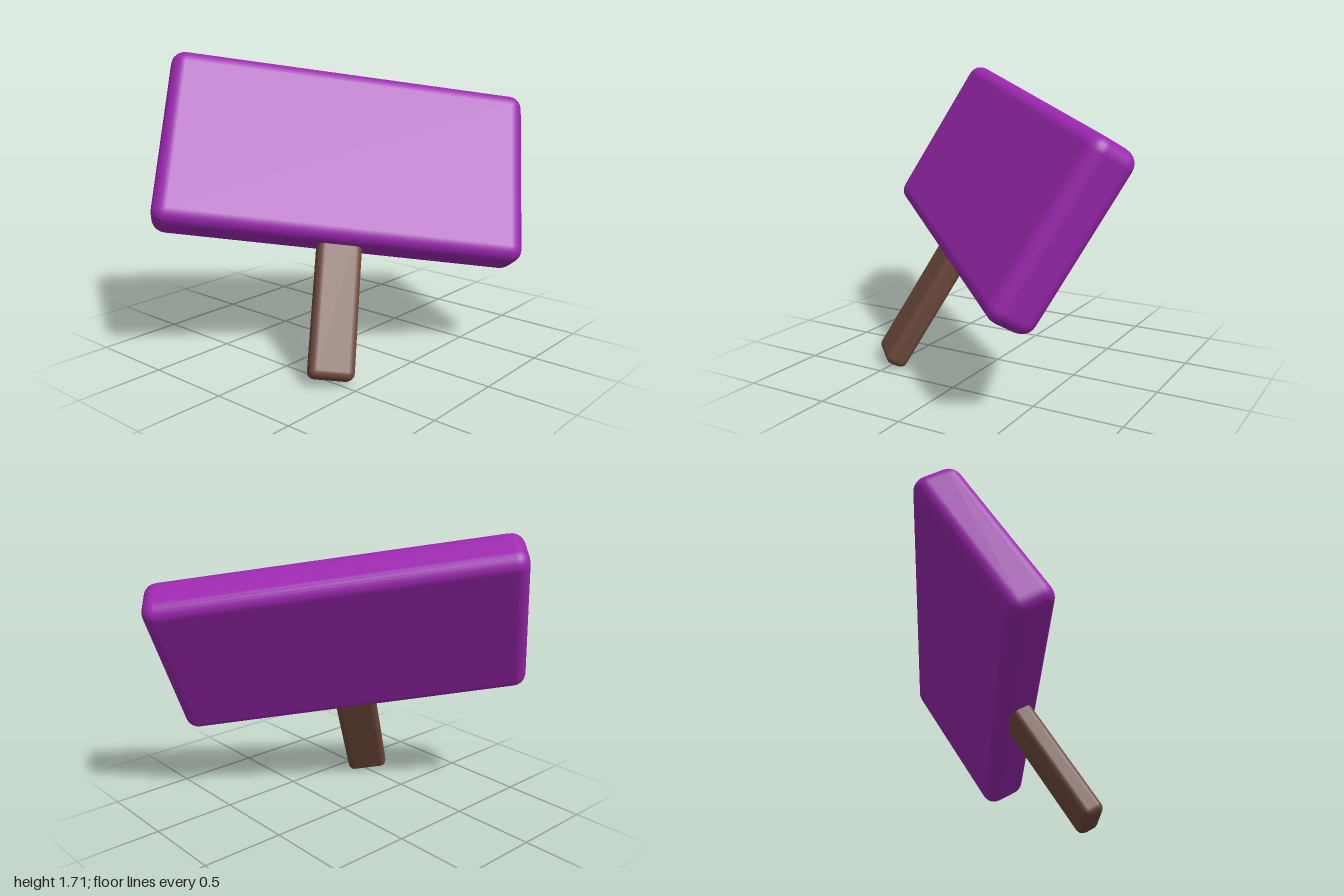
import * as THREE from 'three';
import { RoundedBoxGeometry } from 'three/addons/geometries/RoundedBoxGeometry.js';

// Rounded slab in the board's own axes
function slab(name, size, radius, color, y) {
  const mesh = new THREE.Mesh(
    new RoundedBoxGeometry(...size, 3, radius),
    new THREE.MeshStandardMaterial({ color })
  );
  mesh.name = name;
  mesh.position.y = y;
  return mesh;
}

export function createModel() {
  const model = new THREE.Group();
  model.name = 'signBoard';

  // The whole sign is tilted: x along the board, y along the handle, z out of its face
  const sign = new THREE.Group();
  sign.name = 'tiltedSign';
  const along = new THREE.Vector3(0.731, -0.143, 0.667).normalize();
  const face = along.clone().cross(new THREE.Vector3(0.429, 0.857, -0.284)).normalize();
  const up = face.clone().cross(along);
  sign.quaternion.setFromRotationMatrix(new THREE.Matrix4().makeBasis(along, up, face));
  sign.position.y = 1.095;

  // Board
  sign.add(slab('board', [2.08, 1.03, 0.28], 0.08, 0x9c27b0, 0));

  // Handle, from inside the board down to the ground
  const bottom = -1.242, top = -0.4;
  sign.add(slab('handle', [0.25, top - bottom, 0.13], 0.04, 0x6f4a3d, (top + bottom) / 2));

  model.add(sign);
  return model;
}
